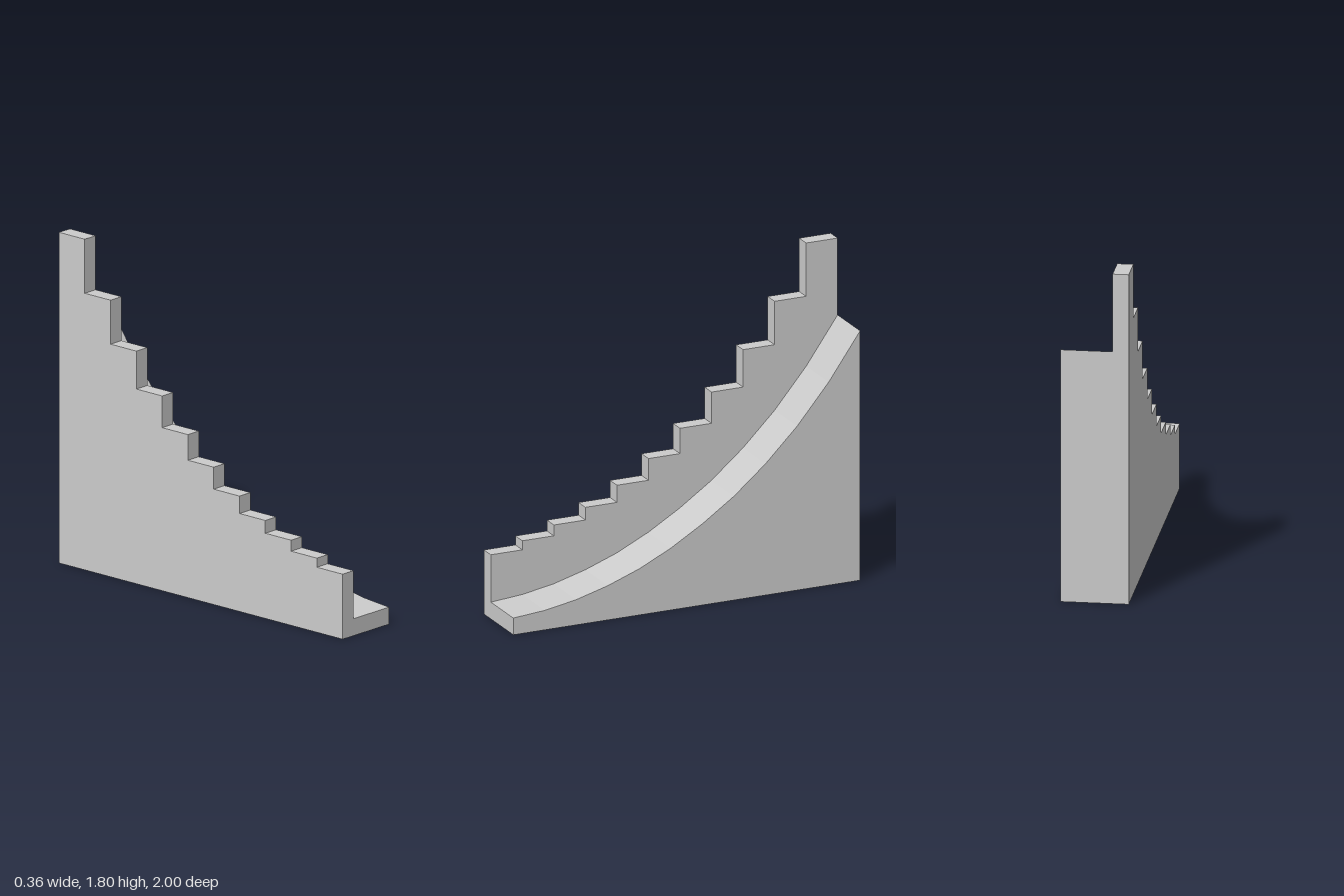
import * as THREE from 'three';

const HALF_WIDTH = 0.18;
const WALL_INNER = -0.095;

// Height of each wall step and of each ramp joint, from front to back
const STEP_HEIGHTS = [0.355, 0.405, 0.465, 0.535, 0.63, 0.75, 0.89, 1.063, 1.27, 1.51, 1.805];
const RAMP_HEIGHTS = [0.093, 0.108, 0.14, 0.19, 0.256, 0.343, 0.45, 0.575, 0.727, 0.907, 1.123, 1.38];
const STEP_DEPTH = 2 / STEP_HEIGHTS.length;

// Extrudes a side profile (distance toward the back, height) from x0 to x1
function sideExtrusion(name, points, x0, x1, material) {
  const shape = new THREE.Shape(points.map(([u, y]) => new THREE.Vector2(u, y)));
  const geometry = new THREE.ExtrudeGeometry(shape, { depth: x1 - x0, bevelEnabled: false });
  geometry.rotateY(Math.PI / 2);
  geometry.translate(x0, 0, 0);
  const mesh = new THREE.Mesh(geometry, material);
  mesh.name = name;
  return mesh;
}

export function createModel() {
  const group = new THREE.Group();
  group.name = 'curvedRampWithSteppedWall';
  const material = new THREE.MeshStandardMaterial({ color: 0xcccccc, flatShading: true });

  // Stepped side wall: one level tread per step
  const wall = [[1, 0], [-1, 0]];
  STEP_HEIGHTS.forEach((y, i) => {
    wall.push([-1 + i * STEP_DEPTH, y], [-1 + (i + 1) * STEP_DEPTH, y]);
  });
  group.add(sideExtrusion('steppedWall', wall, -HALF_WIDTH, WALL_INNER, material));

  // Solid ramp with a faceted concave slope
  const ramp = [[1, 0], [-1, 0]];
  RAMP_HEIGHTS.forEach((y, i) => ramp.push([-1 + i * STEP_DEPTH, y]));
  group.add(sideExtrusion('curvedRamp', ramp, WALL_INNER, HALF_WIDTH, material));

  return group;
}
